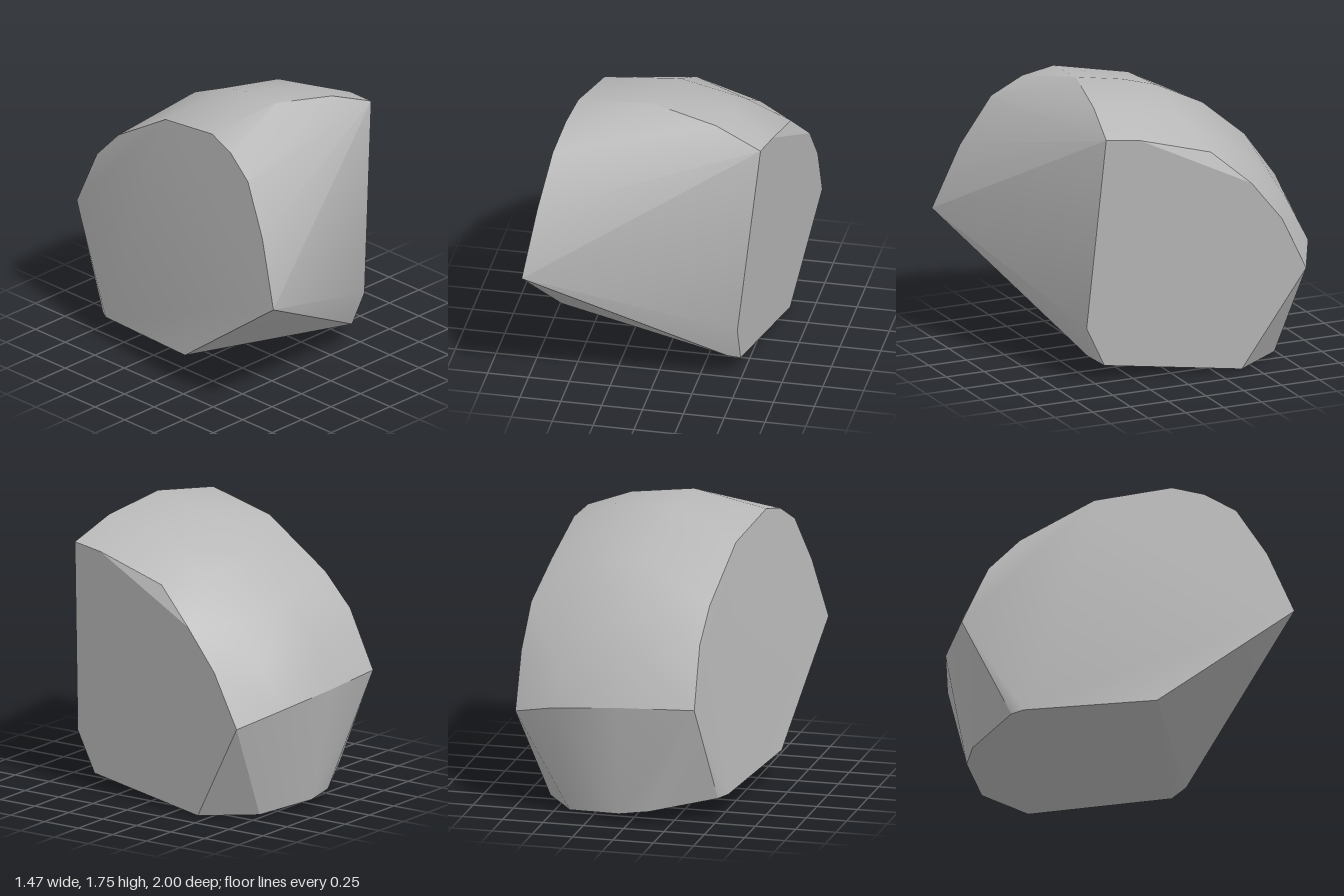
import * as THREE from 'three';
import { ConvexGeometry } from 'three/addons/geometries/ConvexGeometry.js';
import { toCreasedNormals } from 'three/addons/utils/BufferGeometryUtils.js';

// Parallel slanted slices through the stone: offset in x, then [z, y] outline points
const slices = [
  // flat side on -x
  [-0.658, [[1, 0.815], [0.845, 1.21], [0.665, 1.512], [0.478, 1.626], [0.286, 1.674], [-0.174, 1.59],
    [-0.618, 1.317], [-0.808, 1.122], [-0.97, 0.76], [-0.61, 0.145], [0.18, 0.205]]],
  // domed middle rows
  [-0.185, [[0.36, 1.745], [0.07, 1.705], [-0.14, 1.65], [-0.43, 1.51], [-0.7, 1.28], [-0.9, 1], [-1, 0.75]]],
  [0.24, [[0.43, 1.675], [0.2, 1.66], [-0.1, 1.58], [-0.37, 1.42], [-0.6, 1.2], [-0.8, 0.95], [-0.93, 0.7]]],
  // flat side on +x
  [0.541, [[0.48, 1.56], [0.27, 1.54], [-0.43, 1.2], [-0.63, 0.95], [-0.79, 0.62], [-0.42, 0],
    [0.43, 0.1], [0.55, 0.35]]],
];

// Small corners around the base, and one chipped top corner
const corners = [
  [0.405, 0.01, -0.73], [0.065, 0.05, -0.87], [-0.12, 0.075, -0.86], [-0.5, 0.135, -0.68],
  [0.42, 0.15, 0.51], [0.66, 1.41, -0.19],
];

export function createModel() {
  const group = new THREE.Group();
  group.name = 'stone';

  const points = corners.map((c) => new THREE.Vector3(...c));
  for (const [offset, outline] of slices) {
    for (const [z, y] of outline) {
      points.push(new THREE.Vector3(offset + 0.096 * y - 0.16 * z, y, z));
    }
  }

  const stoneGrey = new THREE.MeshStandardMaterial({ color: 0xb8b8b8 });
  stoneGrey.name = 'stone grey';

  // Domed top stays smooth, the cut faces stay sharp
  const body = new THREE.Mesh(toCreasedNormals(new ConvexGeometry(points), Math.PI / 6), stoneGrey);
  body.name = 'stoneBody';
  group.add(body);
  return group;
}
